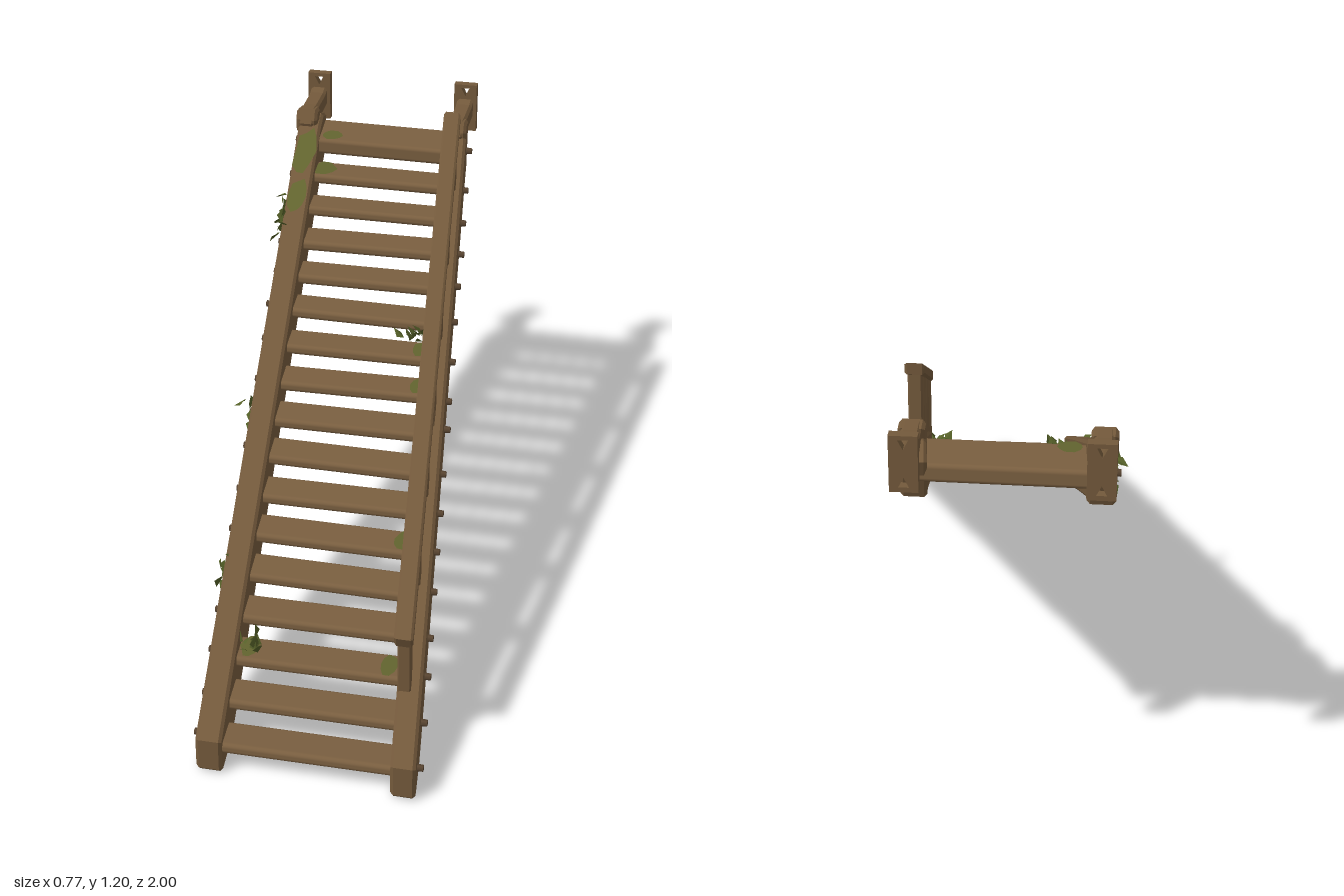
import * as THREE from 'three';
import { mergeGeometries } from 'three/addons/utils/BufferGeometryUtils.js';
import { RoundedBoxGeometry } from 'three/addons/geometries/RoundedBoxGeometry.js';

const mat = (name, color, side = THREE.FrontSide) => {
  const m = new THREE.MeshStandardMaterial({ color, side });
  m.name = name;
  return m;
};

export function createModel() {
  const root = new THREE.Group();
  root.name = 'stairway';
  const beamWood = mat('beam wood', 0x73593b);
  const treadWood = mat('tread wood', 0x7a5f40);
  const boltWood = mat('bolt brown', 0x594531);
  const moss = mat('moss green', 0x62642f, THREE.DoubleSide);
  const leaf = mat('leaf green', 0x566129, THREE.DoubleSide);

  let seed = 7;
  const rand = () => (seed = (seed * 16807) % 2147483647) / 2147483647;
  const jitter = (a) => (rand() - 0.5) * 2 * a;

  // The flight runs slightly sideways: centre lines of the two stringers
  const leftX = (z) => 0.2215 + 0.1135 * z;
  const rightX = (z) => -0.26 + 0.081 * z;
  const topY = (z) => 0.643 - 0.54 * z;

  const add = (name, geo, material, parent = root) => {
    const m = new THREE.Mesh(geo, material);
    m.name = name;
    parent.add(m);
    return m;
  };

  // Extrudes a (z, y) side profile to a width, then shifts it along a centre line
  const sideBeam = (pts, width, centre, bevel = 0.008) => {
    const shape = new THREE.Shape(pts.map(([z, y]) => new THREE.Vector2(-z, y)));
    const depth = width - 2 * bevel;
    const g = new THREE.ExtrudeGeometry(shape, {
      depth, bevelSize: bevel, bevelThickness: bevel, bevelOffset: -bevel, bevelSegments: 1,
    });
    g.translate(0, 0, -depth / 2).rotateY(Math.PI / 2);
    const p = g.attributes.position;
    for (let i = 0; i < p.count; i++) p.setX(i, p.getX(i) + centre(p.getZ(i)));
    g.computeVertexNormals();
    return g;
  };

  // Stringers
  const profile = [
    [1, 0.105], [1, 0.015], [0.985, 0], [0.86, 0.003], [0.79, 0.035], [0, 0.475],
    [-0.8, 0.91], [-0.88, 0.94], [-0.925, 1.06], [-0.86, 1.085], [-0.8, 1.07], [0, 0.643],
  ];
  add('leftStringer', sideBeam(profile, 0.066, leftX), beamWood);
  add('rightStringer', sideBeam(profile, 0.07, rightX), beamWood);

  // Treads, each a slightly uneven plank between the stringers
  const treads = new THREE.Group();
  treads.name = 'treads';
  root.add(treads);
  const treadAt = (i) => ({ y: 0.07 + 0.0587 * i, z: 0.93 - 0.1095 * i });
  const plank = (name, y, z, h, d) => {
    const a = rightX(z), b = leftX(z);
    const t = add(name, new RoundedBoxGeometry(b - a, h, d, 2, 0.012), treadWood, treads);
    t.position.set((a + b) / 2, y, z);
    t.rotation.set(jitter(0.05), jitter(0.012), jitter(0.008));
  };
  for (let i = 0; i < 16; i++) {
    const { y, z } = treadAt(i);
    plank('tread', y, z, 0.031, 0.106);
  }
  plank('topTread', 1.018, -0.835, 0.05, 0.15);

  // Bolts along the outer faces
  const bolts = [];
  for (let i = 0; i < 17; i++) {
    const { y, z } = treadAt(i);
    for (const [centre, s] of [[leftX, 1], [rightX, -1]]) {
      const g = new THREE.CylinderGeometry(0.009, 0.011, 0.03, 6);
      g.rotateZ(-s * Math.PI / 2);
      g.translate(centre(z) + s * 0.035, y - 0.005 + jitter(0.012), z + jitter(0.012));
      bolts.push(g);
    }
  }
  add('bolts', mergeGeometries(bolts), boltWood);

  // Handrail with seven uneven balusters
  const railX = (z) => 0.213 + 0.107 * z;
  add('handrail', sideBeam(
    [[0.86, 0.405], [0.845, 0.372], [-0.68, 1.168], [-0.68, 1.2]], 0.05, railX, 0.006), beamWood);
  const railY = (z) => 0.83 - 0.522 * z;
  const balusters = [
    // top z, bottom z, top width, bottom width
    [0.8, 0.79, 0.045, 0.045], [0.53, 0.52, 0.03, 0.045], [0.29, 0.285, 0.045, 0.04],
    [0.055, 0.075, 0.03, 0.07], [-0.145, -0.17, 0.055, 0.04], [-0.375, -0.4, 0.055, 0.04],
    [-0.625, -0.64, 0.055, 0.04],
  ];
  for (const [zt, zb, wt, wb] of balusters) {
    const yt = railY(zt), yb = topY(zb) - 0.03;
    add('baluster', sideBeam([
      [zt + wt / 2, yt], [zb + wb / 2, yb], [zb - wb / 2, yb], [zt - wt / 2, yt + 0.015],
    ], 0.036, railX, 0.004), beamWood);
  }

  // Mounting brackets at the top: an arm and a drilled end plate
  for (const [name, x] of [['leftBracket', 0.13], ['rightBracket', -0.335]]) {
    const bracket = new THREE.Group();
    bracket.name = name;
    root.add(bracket);
    add('arm', sideBeam([
      [-0.79, 1.075], [-0.8, 1.05], [-0.9, 1.06], [-0.98, 1.065],
      [-0.98, 1.125], [-0.95, 1.115], [-0.86, 1.112], [-0.81, 1.115],
    ], 0.05, () => x), beamWood, bracket);
    add('collar', sideBeam([
      [-0.795, 1.085], [-0.8, 1.04], [-0.84, 1.04], [-0.85, 1.11], [-0.81, 1.115],
    ], 0.066, () => x), beamWood, bracket);
    const s = new THREE.Shape();
    s.moveTo(-0.035, -0.075).lineTo(0.035, -0.075).lineTo(0.035, 0.075).lineTo(-0.035, 0.075);
    for (const [y, d] of [[0.052, 1], [-0.05, -1]]) {
      const h = new THREE.Path();
      h.moveTo(-0.013, y + 0.012 * d).lineTo(0.013, y + 0.012 * d).lineTo(0, y - 0.014 * d);
      s.holes.push(h);
    }
    const plate = add('endPlate',
      new THREE.ExtrudeGeometry(s, { depth: 0.025, bevelEnabled: false }), beamWood, bracket);
    plate.position.set(x, 1.095, -1);
  }

  // Moss: thin ragged patches, lying flat on treads or along a stringer
  const patch = (x, y, z, w, d, tilt) => {
    const s = new THREE.Shape();
    for (let i = 0; i < 10; i++) {
      const a = (i / 10) * Math.PI * 2, r = 0.8 + rand() * 0.3;
      s[i ? 'lineTo' : 'moveTo'](Math.cos(a) * r * w, Math.sin(a) * r * d);
    }
    const m = add('mossPatch', new THREE.ShapeGeometry(s), moss);
    m.rotation.x = -Math.PI / 2 + tilt;
    m.position.set(x, y, z);
  };
  const slope = Math.atan(0.54);
  patch(rightX(-0.7), topY(-0.7) + 0.004, -0.7, 0.033, 0.09, slope);
  patch(rightX(-0.55), topY(-0.55) + 0.004, -0.55, 0.03, 0.07, slope);
  patch(-0.26, 0.97, -0.71, 0.04, 0.045, 0);
  patch(-0.25, 1.046, -0.79, 0.035, 0.03, 0.05);
  for (const [i, x] of [[2, 0.24], [5, 0.21], [9, 0.165], [10, 0.15], [2, -0.14]]) {
    const { y, z } = treadAt(i);
    patch(x, y + 0.0185, z, 0.025, 0.045, 0);
  }
  // Mossy skin on the outer face of the right stringer
  const skin = add('mossSkin', new THREE.CircleGeometry(0.05, 9), moss);
  skin.rotation.y = -Math.PI / 2;
  skin.scale.set(1.3, 0.9, 1);
  skin.position.set(rightX(-0.55) - 0.039, 0.88, -0.55);

  // Ivy: clusters of folded pointed leaves
  const leafGeo = (size) => {
    const g = new THREE.BufferGeometry();
    const v = [0, 0, 0, 0.35, 0.4, 0.12, 0, 1, 0, 0, 0, 0, 0, 1, 0, -0.35, 0.4, 0.12];
    g.setAttribute('position', new THREE.Float32BufferAttribute(v.map((c) => c * size), 3));
    g.computeVertexNormals();
    return g;
  };
  const ivy = (x, y, z, n, sx, sy, sz, down) => {
    const list = [];
    for (let i = 0; i < n; i++) {
      const g = leafGeo(0.03 + rand() * 0.022);
      g.rotateX(jitter(0.9) + (down ? Math.PI : 0)).rotateY(rand() * 6.28).rotateZ(jitter(0.5));
      g.translate(x + jitter(sx), y + jitter(sy), z + jitter(sz));
      list.push(g);
    }
    add('ivy', mergeGeometries(list), leaf);
  };
  ivy(rightX(-0.55) - 0.04, 0.9, -0.55, 18, 0.012, 0.05, 0.11, true);
  ivy(rightX(0.05) - 0.04, 0.53, 0.05, 12, 0.01, 0.08, 0.05, true);
  ivy(rightX(0.08) - 0.035, 0.45, 0.09, 5, 0.01, 0.02, 0.02, true);
  ivy(rightX(0.52) - 0.04, 0.31, 0.52, 10, 0.01, 0.06, 0.03, true);
  ivy(-0.14, 0.205, 0.7, 9, 0.035, 0.005, 0.035, false);
  ivy(0.13, 0.7, -0.2, 11, 0.035, 0.01, 0.03, false);

  return root;
}
